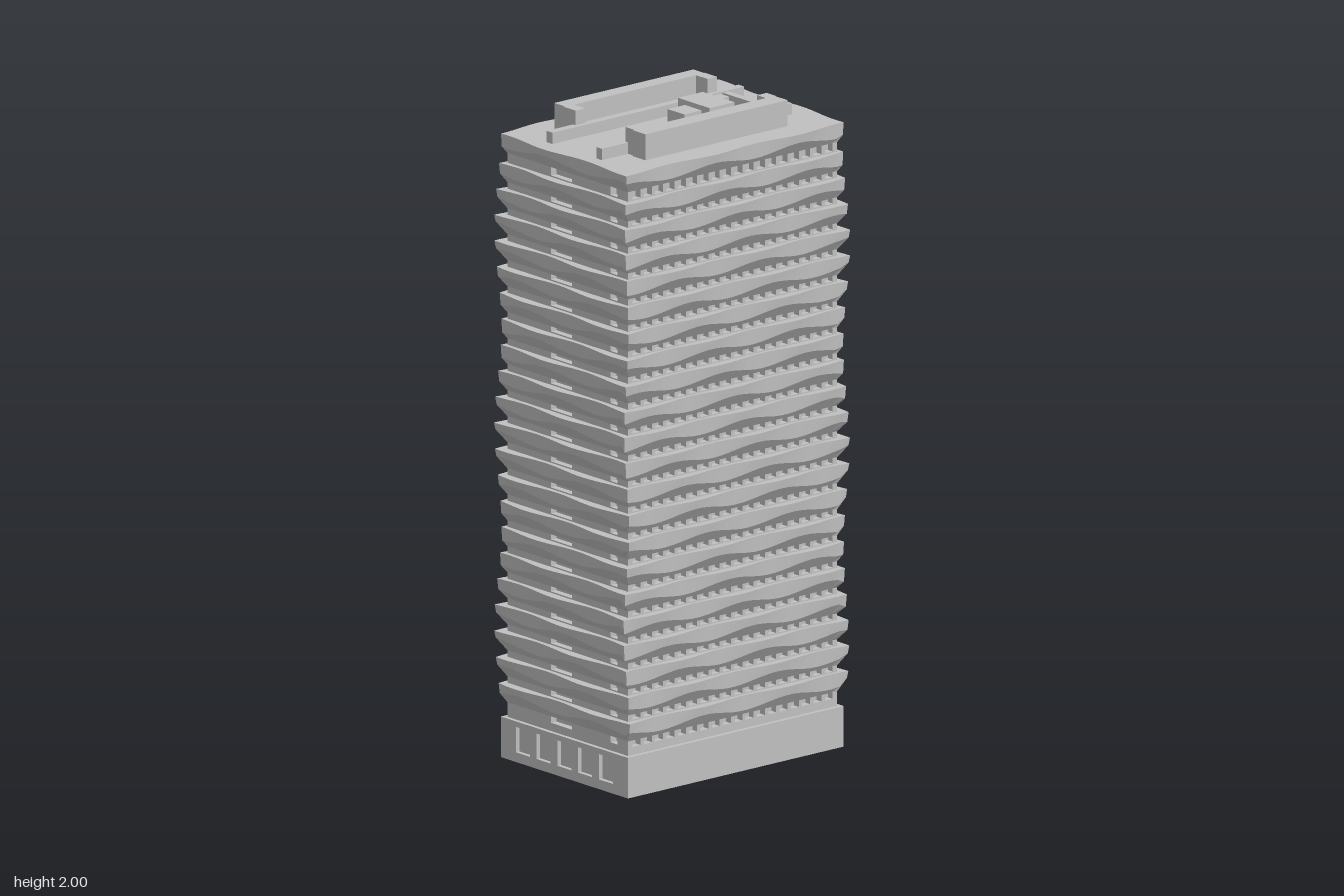
import * as THREE from 'three';

const stone = new THREE.MeshStandardMaterial({ color: 0xc0c0c0 });
stone.name = 'pale grey stone';

const HX = 0.407, HZ = 0.274;            // half size of the tower wall
const ROOF = 1.92, FLOORS = 22;
// balcony tops, lowest first
const tops = Array.from({ length: FLOORS }, (_, i) => (i === FLOORS - 1 ? ROOF : 0.23 + i * 0.08));

function add(parent, name, geometry) {
  const mesh = new THREE.Mesh(geometry, stone);
  mesh.name = name;
  parent.add(mesh);
  return mesh;
}

// box given by its limits
function block(parent, name, x0, x1, y0, y1, z0, z1) {
  const mesh = add(parent, name, new THREE.BoxGeometry(x1 - x0, y1 - y0, z1 - z0));
  mesh.position.set((x0 + x1) / 2, (y0 + y1) / 2, (z0 + z1) / 2);
  return mesh;
}

// upright wall with rectangular holes [x, y, width, height]; outer face at distance `out`
function wall(parent, name, half, y0, y1, holes, depth, out, angle) {
  const shape = new THREE.Shape([[-half, y0], [half, y0], [half, y1], [-half, y1]].map(p => new THREE.Vector2(...p)));
  for (const [x, y, w, h] of holes) {
    shape.holes.push(new THREE.Path([[x - w / 2, y], [x - w / 2, y + h], [x + w / 2, y + h], [x + w / 2, y]]
      .map(p => new THREE.Vector2(...p))));
  }
  const geo = new THREE.ExtrudeGeometry(shape, { depth, bevelEnabled: false });
  geo.translate(0, 0, out - depth);
  geo.rotateY(angle);
  return add(parent, name, geo);
}

// how far a balcony reaches beyond the wall, waving along each side
const sideStart = [-0.25, -0.1, -0.1, 0.1];   // a shallow point on the top floor: front, right, back, left
function reach(side, along, floor) {
  const period = side % 2 ? 0.36 : 0.33;
  const shift = sideStart[side] + (FLOORS - 1 - floor) * 0.045;
  const dip = 0.5 + 0.5 * Math.cos((along - shift) / period * Math.PI * 2);
  return (side % 2 ? 0.030 : 0.026) - 0.016 * dip;
}

// wavy balcony: slanted underside, upright lip, flat top
function balconyGeometry(floor) {
  const top = tops[floor], N = 32;
  const low = top - 0.06;
  const rings = [[], [], []];
  for (let side = 0; side < 4; side++) {
    for (let i = 0; i < N; i++) {
      const u = -1 + 2 * i / N;
      const dir = side === 0 || side === 3 ? 1 : -1;
      const sx = side % 2 ? (side === 1 ? 1 : -1) : u * dir;
      const sz = side % 2 ? u * dir : (side === 0 ? 1 : -1);
      const ox = reach(sx > 0 ? 1 : 3, sz * 0.3, floor);
      const oz = reach(sz > 0 ? 0 : 2, sx * 0.43, floor);
      const own = side % 2 ? ox : oz;
      rings[0].push([sx * HX, low, sz * HZ]);
      rings[1].push([sx * (HX + ox * 0.88), low + own * 1.3, sz * (HZ + oz * 0.88)]);
      rings[2].push([sx * (HX + ox), top, sz * (HZ + oz)]);
    }
  }
  const pos = [];
  const tri = (...pts) => pts.forEach(p => pos.push(...p));
  const count = rings[0].length;
  for (let i = 0; i < count; i++) {
    const j = (i + 1) % count;
    for (let r = 0; r < 2; r++) {
      const a = rings[r], b = rings[r + 1];
      tri(a[i], a[j], b[j]);
      tri(a[i], b[j], b[i]);
    }
    tri([0, top, 0], rings[2][i], rings[2][j]);
    tri([0, low, 0], rings[0][j], rings[0][i]);
  }
  const geo = new THREE.BufferGeometry();
  geo.setAttribute('position', new THREE.Float32BufferAttribute(pos, 3));
  geo.computeVertexNormals();
  return geo;
}

export function createModel() {
  const model = new THREE.Group();
  model.name = 'tower';

  // base with recessed windows on three sides
  const base = new THREE.Group();
  base.name = 'base';
  model.add(base);
  const BX = 0.42, BZ = 0.288, BH = 0.125, d = 0.014;
  block(base, 'baseCore', -BX + d, BX - d, 0, BH, -BZ + d, BZ - d);
  const row = (n, pitch) => Array.from({ length: n }, (_, i) => [(i - (n - 1) / 2) * pitch, 0.03, 0.064, 0.078]);
  wall(base, 'baseFront', BX, 0, BH, [], d, BZ, 0);
  wall(base, 'baseBack', BX, 0, BH, row(8, 0.1), d, BZ, Math.PI);
  for (const s of [1, -1]) wall(base, 'baseSide', BZ - d, 0, BH, row(5, 0.094), d, BX, s * Math.PI / 2);

  // tower shaft: recessed core behind walls pierced by windows
  const shaft = new THREE.Group();
  shaft.name = 'shaft';
  model.add(shaft);
  const t = 0.022, y0 = BH, y1 = ROOF - 0.03;
  block(shaft, 'core', -HX + t, HX - t, y0, y1, -HZ + t, HZ - t);
  const longHoles = [], sideHoles = [];
  tops.forEach((top, f) => {
    const sill = f ? tops[f - 1] + 0.004 : 0.15, h = top - 0.045 - sill;
    for (let i = 0; i < 18; i++) longHoles.push([(i - 8.5) * 0.044, sill, 0.031, h]);
    sideHoles.push([-0.21, sill, 0.03, h], [0.028, sill, 0.096, h]);
  });
  wall(shaft, 'frontWall', HX, y0, y1, longHoles, t, HZ, 0);
  wall(shaft, 'backWall', HX, y0, y1, longHoles, t, HZ, Math.PI);
  wall(shaft, 'rightWall', HZ - t, y0, y1, sideHoles, t, HX, Math.PI / 2);
  wall(shaft, 'leftWall', HZ - t, y0, y1, sideHoles.map(([x, ...r]) => [-x, ...r]), t, HX, -Math.PI / 2);

  // wavy balconies
  const balconies = new THREE.Group();
  balconies.name = 'balconies';
  model.add(balconies);
  tops.forEach((_, f) => add(balconies, 'balcony', balconyGeometry(f)));

  // roof structures
  const roof = new THREE.Group();
  roof.name = 'roof';
  model.add(roof);
  const R = ROOF - 0.002;
  block(roof, 'backScreen', -0.272, 0.27, R, 2, -0.218, -0.167);
  block(roof, 'frontScreen', -0.283, 0.27, R, 2, 0.15, 0.208);
  for (const [x0, x1] of [[-0.277, -0.239], [0.236, 0.273]]) {
    block(roof, 'backScreenEnd', x0, x1, R, 2, -0.17, -0.115);
    block(roof, 'frontScreenEnd', x0, x1, R, 2, 0.11, 0.152);
  }
  block(roof, 'backBeam', -0.38, 0.367, R, 1.955, -0.127, -0.101);
  block(roof, 'frontBeam', -0.38, 0.36, R, 1.955, 0.098, 0.123);
  block(roof, 'crossBeam', 0.283, 0.306, R, 1.952, -0.101, 0.098);
  block(roof, 'plantRoom', 0.085, 0.182, R, 1.98, -0.073, 0.07);
  block(roof, 'plantAnnex', 0.018, 0.085, R, 1.965, -0.042, 0.034);
  block(roof, 'plantDuct', 0.182, 0.23, R, 1.97, -0.048, -0.01);
  return model;
}
